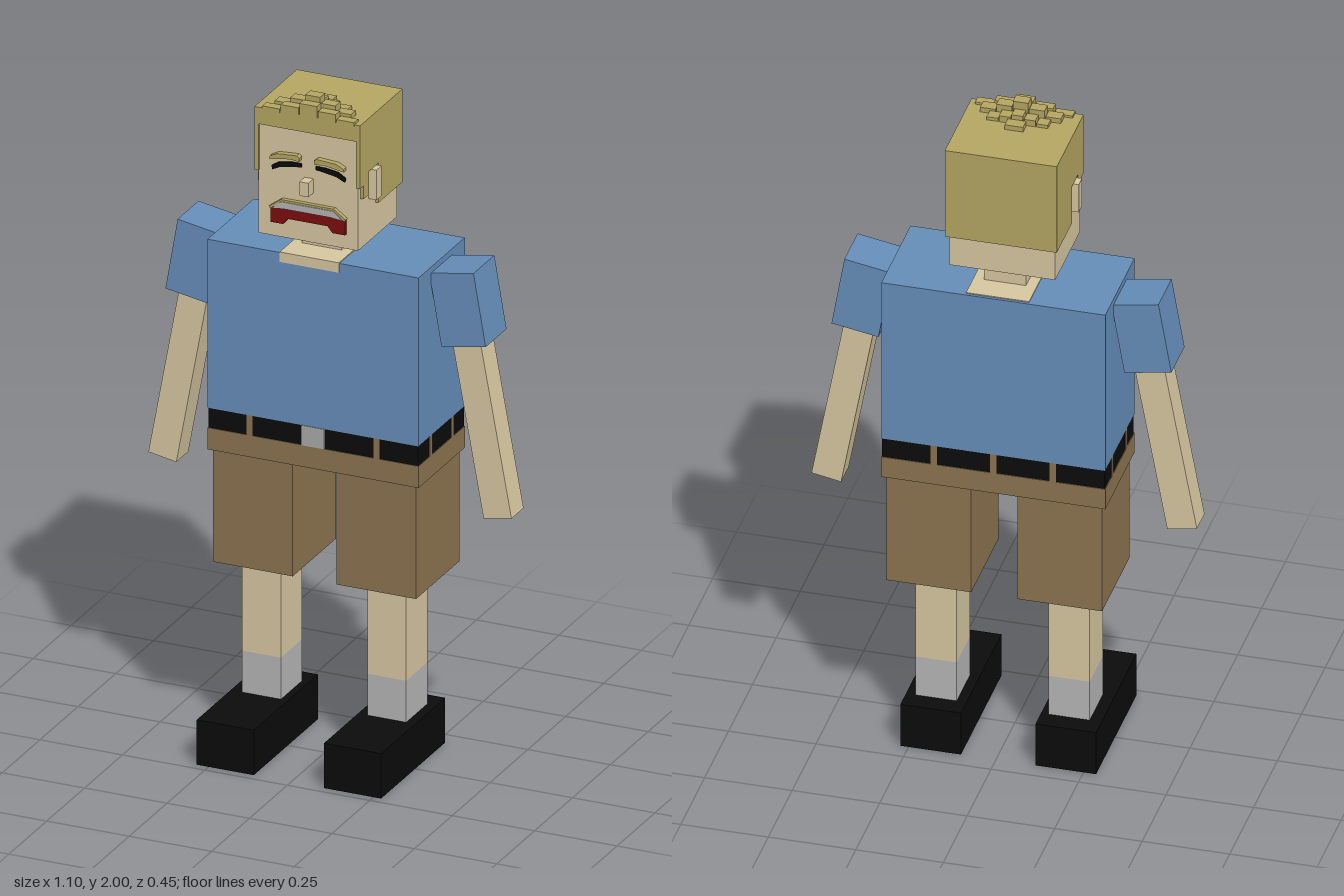
import * as THREE from 'three';

const mat = (color, side = THREE.FrontSide) => new THREE.MeshStandardMaterial({ color, flatShading: true, side });
const SKIN = mat(0xd6c6a0), SHIRT = mat(0x658db8), SHORTS = mat(0x8b7350), HAIR = mat(0xb3a562);
const BLACK = mat(0x0b0b0b), SOCK = mat(0xb4b4b4), RED = mat(0x7c0c0c), METAL = mat(0xa8a8a8);

export function createModel() {
  const model = new THREE.Group();
  model.name = 'blockMan';

  // Box from its min and max corners
  const box = (name, m, x0, x1, y0, y1, z0, z1, parent = model) => {
    const mesh = new THREE.Mesh(new THREE.BoxGeometry(x1 - x0, y1 - y0, z1 - z0), m);
    mesh.position.set((x0 + x1) / 2, (y0 + y1) / 2, (z0 + z1) / 2);
    mesh.name = name;
    parent.add(mesh);
    return mesh;
  };
  const group = (name) => {
    const g = new THREE.Group();
    g.name = name;
    model.add(g);
    return g;
  };
  // Flat outline given a little thickness
  const plate = (points, depth) => new THREE.ExtrudeGeometry(
    new THREE.Shape(points.map(([x, y]) => new THREE.Vector2(x, y))), { depth, bevelEnabled: false });

  // Torso, collar opening and waist
  box('shirt', SHIRT, -0.32, 0.32, 1.01, 1.517, -0.226, 0.08);
  box('collarOpening', SKIN, -0.1, 0.08, 1.49, 1.52, -0.218, 0.083);
  box('neck', SKIN, -0.07, 0.05, 1.5, 1.58, -0.14, 0);
  box('belt', BLACK, -0.318, 0.318, 0.95, 1.01, -0.224, 0.078);
  box('waistband', SHORTS, -0.32, 0.32, 0.885, 0.95, -0.226, 0.08);
  box('buckle', METAL, -0.035, 0.035, 0.95, 1.01, 0.07, 0.082);

  // Belt loops: two in front, three behind, two on each side
  const loops = group('beltLoops');
  for (const x of [-0.193, 0.193]) box('frontLoop', SHORTS, x - 0.009, x + 0.009, 0.95, 1.01, 0.07, 0.08, loops);
  for (const x of [-0.17, 0, 0.17]) box('backLoop', SHORTS, x - 0.009, x + 0.009, 0.95, 1.01, -0.226, -0.216, loops);
  for (const s of [-1, 1]) for (const z of [-0.003, -0.147]) {
    const inner = s * 0.31, outer = s * 0.32;
    box('sideLoop', SHORTS, Math.min(inner, outer), Math.max(inner, outer), 0.95, 1.01, z - 0.008, z + 0.008, loops);
  }

  for (const s of [-1, 1]) {
    // Arms swing slightly outwards
    const arm = group(s > 0 ? 'leftArm' : 'rightArm');
    const sleeve = box('sleeve', SHIRT, -0.068, 0.068, -0.109, 0.109, -0.141, -0.003, arm);
    sleeve.position.x = s * 0.4;
    sleeve.position.y = 1.402;
    sleeve.rotation.z = s * 0.17;
    const forearm = box('forearm', SKIN, -0.043, 0.043, -0.3, 0.3, -0.112, -0.032, arm);
    forearm.position.x = s * 0.454;
    forearm.position.y = 1.078;
    forearm.rotation.z = s * 0.182;

    // Legs
    const leg = group(s > 0 ? 'leftLeg' : 'rightLeg');
    const c = s * 0.19 - 0.003;
    box('shortsLeg', SHORTS, s * 0.187 - 0.121, s * 0.187 + 0.121, 0.545, 0.886, -0.216, 0.07, leg);
    box('shin', SKIN, c - 0.059, c + 0.059, 0.26, 0.55, -0.14, 0, leg);
    box('sock', SOCK, c - 0.059, c + 0.059, 0.13, 0.26, -0.14, 0, leg);
    box('shoe', BLACK, s * 0.193 - 0.093, s * 0.193 + 0.08, 0, 0.135, -0.198, 0.225, leg);
  }

  // Head, hair cap and back of the hair
  const CX = -0.01;
  box('head', SKIN, CX - 0.151, CX + 0.151, 1.57, 1.92, -0.168, 0.09);
  const hair = group('hair');
  box('hairCap', HAIR, CX - 0.16, CX + 0.16, 1.9, 1.95, -0.184, 0.096, hair);
  box('hairBack', HAIR, CX - 0.16, CX + 0.16, 1.67, 1.9, -0.184, -0.16, hair);

  // Hair sides, cut out around the ears
  const sideOutline = [[0.096, 1.9], [0.096, 1.76], [0.073, 1.76], [0.073, 1.72], [0.036, 1.72],
    [0.036, 1.79], [-0.025, 1.79], [-0.025, 1.67], [-0.165, 1.67], [-0.165, 1.9]];
  for (const s of [-1, 1]) {
    const side = new THREE.Mesh(plate(sideOutline.map(([z, y]) => [-z, y]), 0.012), HAIR);
    side.name = 'hairSide';
    side.rotation.y = Math.PI / 2;
    side.position.x = s > 0 ? CX + 0.148 : CX - 0.16;
    hair.add(side);
    const e = CX + s * 0.162;
    box(s > 0 ? 'leftEar' : 'rightEar', SKIN, e - 0.014, e + 0.014, 1.7, 1.79, -0.012, 0.022);
  }

  // Stepped tufts on top: [z0, z1, x of first, count, edge height, centre height]
  const tuftRows = [[-0.035, 0, -0.033, 1, 1.965, 1.965], [0, 0.035, -0.094, 5, 1.96, 1.978],
    [0.035, 0.07, -0.122, 5, 1.965, 2], [0.07, 0.1, -0.146, 5, 1.957, 1.985]];
  for (const [z0, z1, x0, n, low, high] of tuftRows) {
    const w = n === 1 ? 0.056 : (-2 * (x0 - CX) + 0.01) / n;
    for (let i = 0; i < n; i++) {
      const t = n === 1 ? 1 : 1 - Math.abs(i - (n - 1) / 2) / ((n - 1) / 2);
      box('tuft', HAIR, x0 + i * w, x0 + (i + 1) * w - 0.003, 1.945, low + (high - low) * t, z0, z1 - 0.002, hair);
    }
  }

  // Face
  const face = group('face');
  const facePart = (name, m, points, depth) => {
    const mesh = new THREE.Mesh(plate(points, depth), m);
    mesh.name = name;
    mesh.position.set(CX + 0.003, 0, 0.085);
    face.add(mesh);
  };
  const brow = [[0.024, 1.812], [0.05, 1.816], [0.112, 1.806], [0.112, 1.815], [0.09, 1.826], [0.03, 1.83], [0.022, 1.824]];
  const lid = [[0.022, 1.792], [0.05, 1.788], [0.085, 1.782], [0.11, 1.77], [0.112, 1.782], [0.09, 1.796], [0.05, 1.802], [0.022, 1.802]];
  for (const s of [-1, 1]) {
    facePart('eyebrow', HAIR, brow.map(([x, y]) => [s * x, y]), 0.022);
    facePart('closedEye', BLACK, lid.map(([x, y]) => [s * x, y]), 0.01);
  }
  box('nose', SKIN, -0.021, 0.006, 1.72, 1.762, 0.08, 0.124, face);
  const mirrored = (half) => [...half, ...half.map(([x, y]) => [-x, y]).reverse()];
  facePart('mouth', RED, mirrored([[0.06, 1.632], [0.075, 1.614], [0.113, 1.614], [0.113, 1.656], [0.082, 1.676]]), 0.015);
  facePart('teeth', SOCK, mirrored([[0.07, 1.662], [0.108, 1.658], [0.08, 1.682]]), 0.02);
  facePart('upperLip', HAIR, mirrored([[0.078, 1.68], [0.113, 1.656], [0.116, 1.662], [0.08, 1.688]]), 0.018);

  return model;
}
